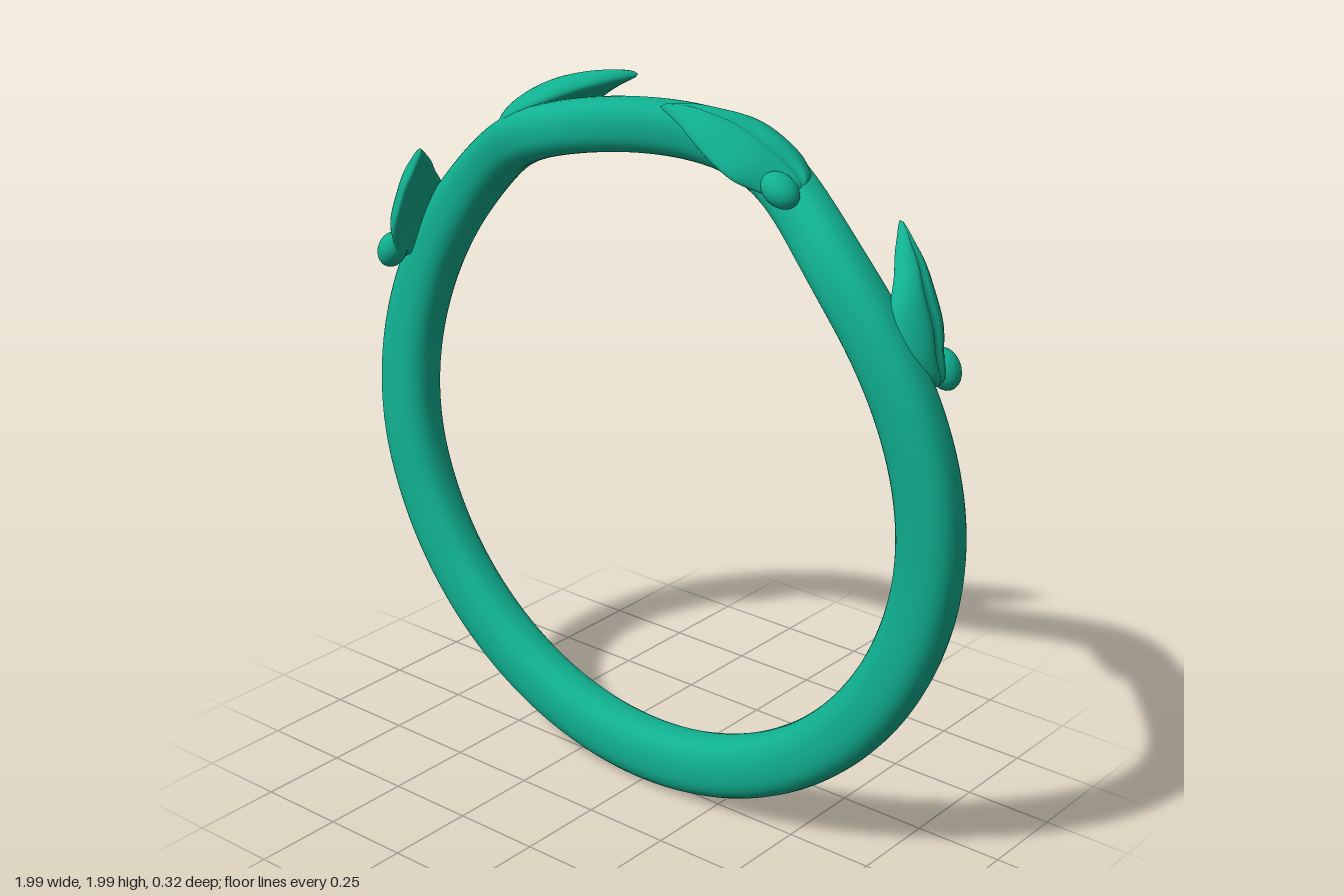
import * as THREE from 'three';

const material = new THREE.MeshStandardMaterial({ color: 0x10b090, side: THREE.DoubleSide });
const rad = THREE.MathUtils.degToRad;

// Ring coordinates: angle from the top, distance from the ring's centre, z
const onRing = (a, r, z) => [r * Math.sin(a), 1 + r * Math.cos(a), z];

// Smooth skin through closed cross-sections; closed = last section joins the first
function loft(name, rows, cols, closed, point) {
  const pos = [], index = [];
  for (let i = 0; i < rows; i++)
    for (let j = 0; j < cols; j++)
      pos.push(...point(i / (closed ? rows : rows - 1), (j / cols) * Math.PI * 2));
  for (let i = 0; i < (closed ? rows : rows - 1); i++)
    for (let j = 0; j < cols; j++) {
      const n = (i + 1) % rows, k = (j + 1) % cols;
      const a = i * cols + j, b = i * cols + k, c = n * cols + k, d = n * cols + j;
      index.push(a, b, d, b, c, d);
    }
  const geo = new THREE.BufferGeometry();
  geo.setAttribute('position', new THREE.Float32BufferAttribute(pos, 3));
  geo.setIndex(index);
  geo.computeVertexNormals();
  const mesh = new THREE.Mesh(geo, material);
  mesh.name = name;
  return mesh;
}

// Sideways sway of the band: odd about the top, fading out down the sides
function sway(deg) {
  const d = Math.abs(deg);
  const amp = THREE.MathUtils.lerp(0.07, 0.045, THREE.MathUtils.smoothstep(d, 17, 53));
  let z = 0;
  if (d < 53) z = -amp * Math.sin((d / 35) * Math.PI);
  else z = 0.045 * (1 - THREE.MathUtils.smoothstep(d, 53, 105));
  return Math.sign(deg) * z;
}

// Band: rounded section, a little thinner at the top
function band() {
  const power = 0.82;
  const round = (v) => Math.sign(v) * Math.abs(v) ** power;
  return loft('band', 240, 32, true, (t, phi) => {
    const deg = 180 - t * 360;
    const outer = 0.96 + 0.035 * THREE.MathUtils.smoothstep(Math.abs(deg), 15, 90);
    const mid = (outer + 0.82) / 2, half = (outer - 0.82) / 2;
    return onRing(rad(deg), mid + half * round(Math.sin(phi)), sway(deg) + 0.071 * round(Math.cos(phi)));
  });
}

// Leaf outline from base to tip: (position along, centre z, half width)
const outline = new THREE.CatmullRomCurve3([
  [0, 0.012, 0], [0.05, 0.005, 0.055], [0.17, 0, 0.083], [0.33, 0.015, 0.105], [0.54, 0.03, 0.1],
  [0.72, 0.06, 0.066], [0.83, 0.075, 0.042], [1, 0.112, 0],
].map((p) => new THREE.Vector3(...p)));

// Leaf wrapped over the band, with a grooved midrib and a stalk at the base
function leaf(baseDeg, side, shift, lift) {
  const group = new THREE.Group();
  group.name = 'leaf';
  group.add(loft('leafBlade', 49, 48, false, (t, phi) => {
    const p = outline.getPoint(t);
    const u = THREE.MathUtils.clamp(p.x, 0, 1), w = Math.max(p.z, 0);
    const v = side * Math.cos(phi), fat = w / 0.105;
    const thick = 0.036 * Math.sqrt(fat) * Math.sin(phi);
    const groove = Math.sin(phi) > 0 ? 0.014 * fat * Math.exp(-((v / 0.14) ** 2)) : 0;
    const drop = (0.03 * v * v + 0.018 * v) * fat;
    const r = 0.94 + 0.05 * Math.sin((u * Math.PI) / 2) + lift + thick - groove - drop;
    return onRing(rad(baseDeg - 24 * u), r, side * (p.y + shift) + w * Math.cos(phi));
  }));

  const stalk = new THREE.Mesh(new THREE.SphereGeometry(1, 24, 16), material);
  stalk.name = 'leafStalk';
  const a = rad(baseDeg - 2);
  stalk.position.set(...onRing(a, 0.94 + lift, side * (0.06 + shift)));
  stalk.rotation.z = -a;
  stalk.scale.set(0.055, 0.04, 0.042);
  group.add(stalk);
  return group;
}

export function createModel() {
  const model = new THREE.Group();
  model.name = 'leafRing';
  model.add(band());

  // Two leaves on each side, repeated by a half turn about the vertical axis
  for (const turn of [0, Math.PI]) {
    const pair = new THREE.Group();
    pair.name = turn ? 'rightLeaves' : 'leftLeaves';
    pair.add(leaf(31.5, 1, 0, 0), leaf(66.5, -1, 0.03, 0.012));
    pair.rotation.y = turn;
    model.add(pair);
  }
  return model;
}
